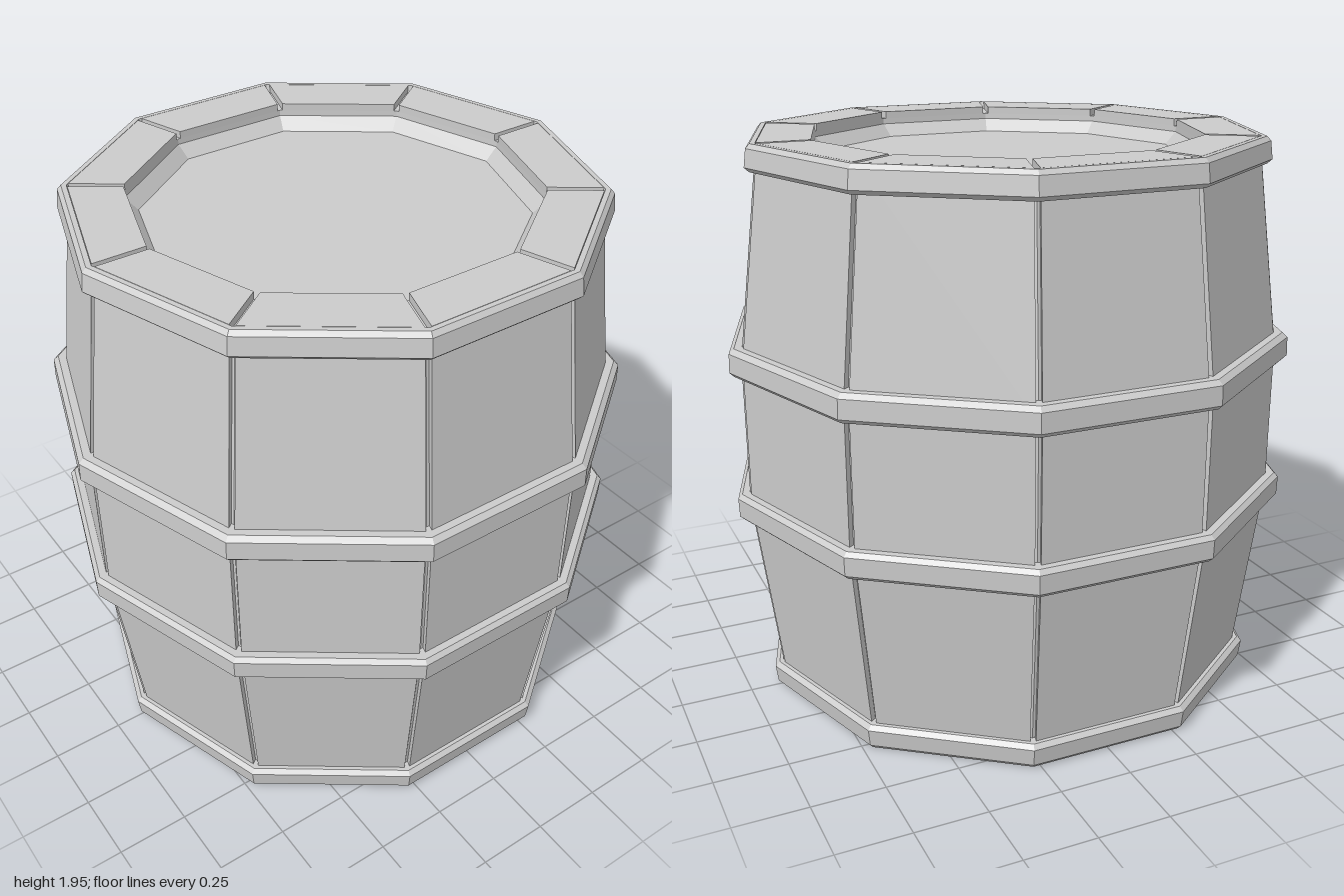
import * as THREE from 'three';

const SIDES = 10, H = 1.95;
const HALF = Math.PI / SIDES;
const GAP = 0.01; // half the groove between two staves
const material = new THREE.MeshStandardMaterial({ color: 0xcccccc, flatShading: true });

// Ten-sided ring from a [radius, y] profile, with a corner on the x axis
function ring(name, profile) {
  const points = profile.map(([r, y]) => new THREE.Vector2(r, y));
  const mesh = new THREE.Mesh(new THREE.LatheGeometry(points, SIDES, Math.PI / 2), material);
  mesh.name = name;
  return mesh;
}

// Mirrors a counterclockwise profile top to bottom, keeping its winding
const flip = (profile) => profile.map(([r, y]) => [r, H - y]).reverse();

// Upper half of the stave, from the belly to the inner lip: [face distance, y]
const staveTop = [[0.912, 1.235], [0.824, H], [0.651, H], [0.651, 1.925]];
// Matching groove floor, which is also the surface of the core
const grooveTop = [[0.892, 1.235], [0.806, 1.925], [0.651, 1.925], [0.651, 1.925]];
const staveProfile = [...flip(staveTop), ...staveTop];
const grooveProfile = [...flip(grooveTop), ...grooveTop];

// One stave: outer strip plus the two groove walls, swept along the profile
function staveGeometry() {
  const positions = [], index = [];
  const point = ([r, y], side) =>
    positions.push(r, y, side * (r * Math.tan(HALF) - GAP));
  staveProfile.forEach((outer, i) => {
    point(grooveProfile[i], -1);
    point(outer, -1);
    point(outer, 1);
    point(grooveProfile[i], 1);
    if (i === 0) return;
    for (let j = 0; j < 3; j++) {
      const a = (i - 1) * 4 + j, b = a + 4;
      index.push(a, b, b + 1, a, b + 1, a + 1);
    }
  });
  const geometry = new THREE.BufferGeometry();
  geometry.setAttribute('position', new THREE.Float32BufferAttribute(positions, 3));
  geometry.setIndex(index);
  const flat = geometry.toNonIndexed();
  flat.computeVertexNormals();
  return flat;
}

export function createModel() {
  const barrel = new THREE.Group();
  barrel.name = 'barrel';

  // Staves
  const staves = new THREE.Group();
  staves.name = 'staves';
  const geometry = staveGeometry();
  for (let i = 0; i < SIDES; i++) {
    const stave = new THREE.Mesh(geometry, material);
    stave.name = 'stave';
    stave.rotation.y = (2 * i + 1) * HALF;
    staves.add(stave);
  }
  barrel.add(staves);

  // Core: groove floors, sloped lip and the recessed lid at both ends
  const coreTop = [
    ...grooveTop.slice(0, 3).map(([r, y]) => [r / Math.cos(HALF), y]),
    [0.684, 1.905], [0.642, 1.862], [0, 1.862],
  ];
  barrel.add(ring('coreAndLids', [...flip(coreTop), ...coreTop]));

  // End hoops
  const endHoop = [
    [0.85, 1.86], [0.892, 1.86], [0.908, 1.875], [0.9, 1.935],
    [0.886, H], [0.868, H], [0.85, 1.86],
  ];
  barrel.add(ring('topHoop', endHoop), ring('bottomHoop', flip(endHoop)));

  // Belly hoops
  const bellyHoop = [
    [0.93, 1.187], [0.985, 1.187], [1, 1.202], [0.998, 1.267],
    [0.98, 1.283], [0.93, 1.283], [0.93, 1.187],
  ];
  barrel.add(ring('upperHoop', bellyHoop), ring('lowerHoop', flip(bellyHoop)));

  return barrel;
}
